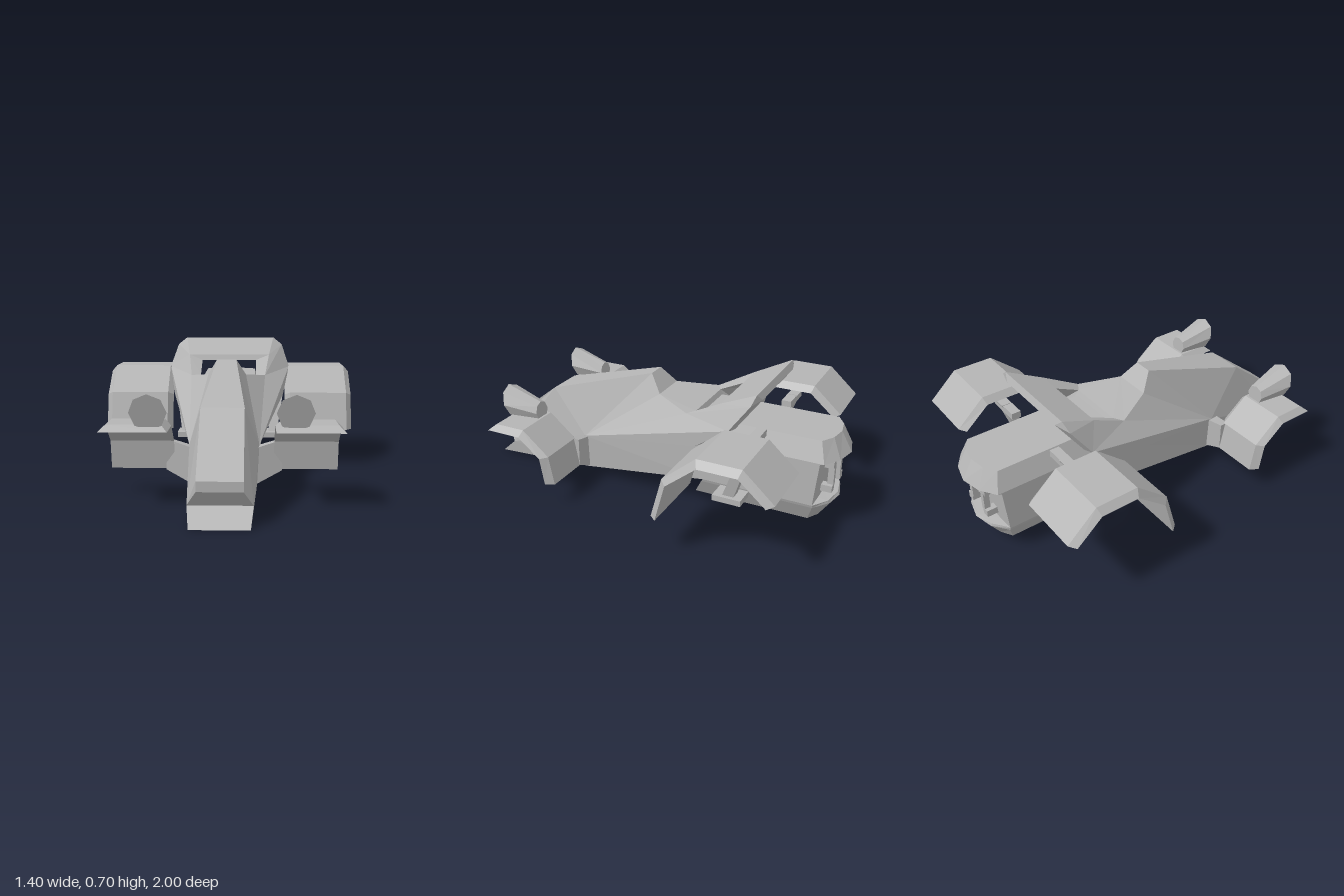
import * as THREE from 'three';

const grey = new THREE.MeshStandardMaterial({ color: 0xb4b4b4, flatShading: true, side: THREE.DoubleSide });
grey.name = 'plain grey';

// Mesh from flat polygons, each fanned into triangles
function polyMesh(name, polys) {
  const pos = [];
  for (const p of polys)
    for (let i = 1; i < p.length - 1; i++) pos.push(...p[0], ...p[i], ...p[i + 1]);
  const g = new THREE.BufferGeometry();
  g.setAttribute('position', new THREE.Float32BufferAttribute(pos, 3));
  g.computeVertexNormals();
  const mesh = new THREE.Mesh(g, grey);
  mesh.name = name;
  return mesh;
}

// Skin a series of equal-length rings and cap both ends
function loft(name, rings) {
  const polys = [[...rings[0]].reverse(), rings[rings.length - 1]];
  for (let r = 0; r < rings.length - 1; r++)
    rings[r].forEach((a, i) => {
      const j = (i + 1) % rings[r].length;
      polys.push([a, rings[r][j], rings[r + 1][j], rings[r + 1][i]]);
    });
  return polyMesh(name, polys);
}

const flip = ([x, y, z]) => [-x, y, z];

// Hull points on the left half
const P = {
  a: [0.13, 0, 1], b: [0.142, 0.08, 0.91], c: [0.1, 0.15, 0.96], d: [0.1, 0.195, 0.96],
  e: [0.1, 0.455, 0.63], f: [0.05, 0.625, 0.05], g: [0.1, 0.54, -0.02],
  h: [0.205, 0.515, -0.22], i: [0.155, 0.515, -0.25],
  k: [0.16, 0.05, 0.4], m: [0.17, 0.24, 0.4], n: [0.19, 0.16, -0.31], o: [0.19, 0.39, -0.31],
  s: [0.31, 0.4, -0.31], t: [0.35, 0.54, -0.5], u: [0.31, 0.665, -0.59], v: [0.26, 0.705, -0.6],
  p: [0.23, 0.615, -0.41], q: [0.155, 0.585, -0.4], r: [0.22, 0.67, -0.615],
  S: [0.27, 0.4, -0.33], T: [0.31, 0.54, -0.52],
};

// sides: one polygon per word, mirrored; spans: strips running across to the mirrored points
function hullPart(name, sides, spans) {
  const polys = [];
  for (const w of sides.split(' ').filter(Boolean)) {
    const pts = [...w].map((ch) => P[ch]);
    polys.push(pts, pts.map(flip).reverse());
  }
  for (const w of spans.split(' ').filter(Boolean)) {
    const pts = [...w].map((ch) => P[ch]);
    polys.push([...pts, ...pts.map(flip).reverse()]);
  }
  return polyMesh(name, polys);
}

// Arched plate: outer and inner profiles of [z, y]; the inner skin is wider by the bevel
function fender(name, x0, x1, outer, inner) {
  const bevel = 0.03;
  return loft(name, outer.map(([z, y], i) => {
    const [zi, yi] = inner[i];
    return [[x0 + bevel, y, z], [x1 - bevel, y, z], [x1, yi, zi], [x0, yi, zi]];
  }));
}

// Rectangular ring in the yz plane
const sideRing = (x, y0, y1, z0, z1) => [[x, y0, z0], [x, y1, z0], [x, y1, z1], [x, y0, z1]];
// Rectangular ring in the xz plane
const flatRing = (y, x0, x1, z0, z1) => [[x0, y, z0], [x0, y, z1], [x1, y, z1], [x1, y, z0]];

function box(name, x, y, z, w, h, d) {
  const mesh = new THREE.Mesh(new THREE.BoxGeometry(w, h, d), grey);
  mesh.position.set(x, y, z);
  mesh.name = name;
  return mesh;
}

// Parts found on both sides, built on the left
function sideParts() {
  const g = new THREE.Group();
  g.add(fender('rearFender', 0.32, 0.7,
    [[-0.265, 0.2], [-0.32, 0.405], [-0.485, 0.545], [-0.7, 0.545], [-0.85, 0.41]],
    [[-0.3, 0.2], [-0.35, 0.39], [-0.5, 0.512], [-0.69, 0.512], [-0.82, 0.4]]));
  g.add(fender('frontFender', 0.24, 0.547,
    [[0.71, 0.39], [0.545, 0.39], [0.4, 0.27], [0.37, 0.12]],
    [[0.745, 0.36], [0.555, 0.36], [0.435, 0.265], [0.41, 0.125]]));

  // Arm joining the front fender to the hull
  g.add(loft('frontArm', [
    sideRing(0.28, 0.12, 0.27, 0.37, 0.415),
    sideRing(0.14, 0.05, 0.23, 0.385, 0.45),
  ]));

  // Eight-sided lamp pod, wider and tilted at the front
  const pod = (r, y, z, tilt) => Array.from({ length: 8 }, (_, i) => {
    const t = (i * Math.PI) / 4;
    return [0.325 + r * Math.sin(t), y + r * Math.cos(t), z + tilt * Math.cos(t)];
  });
  g.add(loft('lampPod', [pod(0.05, 0.42, 0.56, 0.005), pod(0.085, 0.447, 0.74, 0.025)]));

  // Slanted rear strut, its foot, and the link to the fender
  g.add(loft('rearStrut', [
    flatRing(0.14, 0.23, 0.28, -0.45, -0.51),
    flatRing(0.51, 0.27, 0.34, -0.59, -0.635),
  ]));
  g.add(box('strutFoot', 0.25, 0.142, -0.485, 0.11, 0.03, 0.15));
  g.add(box('strutLink', 0.27, 0.49, -0.605, 0.18, 0.035, 0.05));

  // Exhaust bracket in the tail recess
  g.add(box('exhaustBracket', 0.06, 0.28, -0.93, 0.028, 0.11, 0.03));
  for (const y of [0.215, 0.345]) g.add(box('exhaustLug', 0.075, y, -0.915, 0.04, 0.035, 0.06));
  return g;
}

export function createModel() {
  const model = new THREE.Group();
  model.name = 'hoverRacer';

  model.add(hullPart('nose', 'akb bkm bme edcb', 'ab bc cd de ak'));
  model.add(hullPart('canopy', 'emf mgf', 'ef fg ghi'));
  model.add(hullPart('lowerHull', 'mkno', 'kn io'));
  model.add(hullPart('shoulders', 'mhg mst mth htup puv msSo stTS turT uvr STqi Trq hpqi oSi', ''));
  model.add(hullPart('rollBar', '', 'pv vr rq qp'));

  // Engine block: plan outlines stacked upward, with a lip, a recess and a hood at the tail
  const layer = (y, w, front, side, mid, tail) => {
    const half = [[w, y, front], [w, y, side], [w * 0.57, y, mid], [0, y, tail]];
    return [...half, ...half.slice(0, 3).map(flip).reverse()];
  };
  model.add(loft('engine', [
    layer(0.055, 0.14, -0.25, -0.85, -0.885, -0.9),
    layer(0.145, 0.185, -0.3, -0.88, -0.94, -0.965),
    layer(0.16, 0.19, -0.31, -0.88, -0.935, -0.955),
    layer(0.165, 0.19, -0.31, -0.88, -0.885, -0.885),
    layer(0.385, 0.19, -0.31, -0.9, -0.905, -0.905),
    layer(0.39, 0.19, -0.31, -0.92, -0.975, -1),
    layer(0.49, 0.15, -0.26, -0.89, -0.93, -0.945),
  ]));

  const left = sideParts();
  left.name = 'leftSide';
  const right = sideParts();
  right.name = 'rightSide';
  right.scale.x = -1;
  model.add(left, right);
  return model;
}
